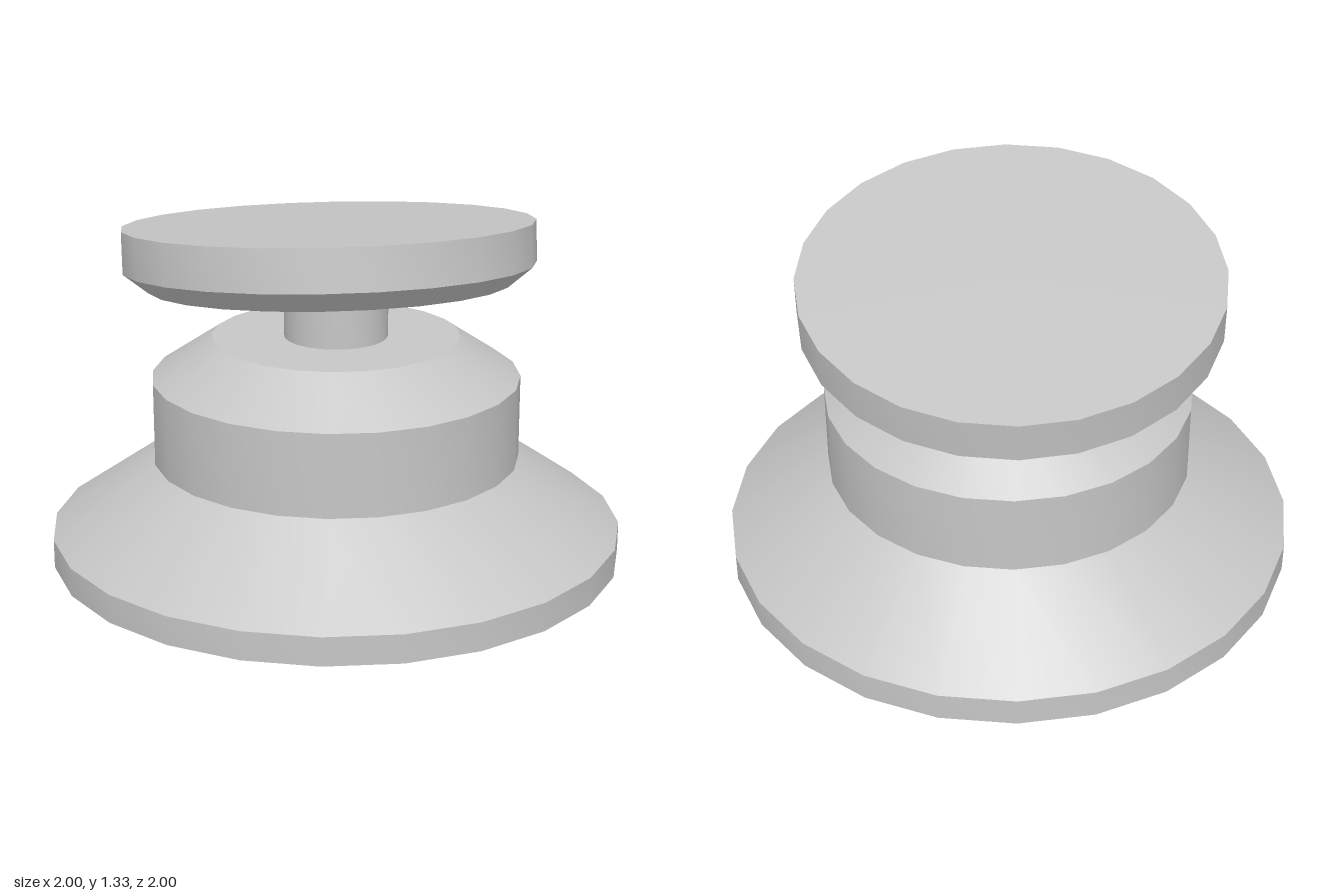
import * as THREE from 'three';
import { toCreasedNormals } from 'three/addons/utils/BufferGeometryUtils.js';

const SIDES = 24;

// Turned part from a [radius, height] profile running bottom to top, smooth around, sharp at its edges
function turned(name, profile, material) {
  const points = profile.map(([r, y]) => new THREE.Vector2(r, y));
  const geometry = toCreasedNormals(new THREE.LatheGeometry(points, SIDES), 0.42);
  const mesh = new THREE.Mesh(geometry, material);
  mesh.name = name;
  return mesh;
}

export function createModel() {
  const grey = new THREE.MeshStandardMaterial({ name: 'light grey', color: 0xc6c6c6 });
  const model = new THREE.Group();
  model.name = 'button';

  // Flared foot with a slightly domed underside, collar and bevelled shoulder
  model.add(turned('base', [
    [0, 0], [0.5, 0.004], [0.77, 0.025], [1, 0.08], [1, 0.18],
    [0.64, 0.43], [0.64, 0.72], [0.43, 0.86], [0, 0.86],
  ], grey));

  // Short stem reaching up into the cap
  model.add(turned('stem', [[0, 0.84], [0.18, 0.84], [0.18, 1.1], [0, 1.1]], grey));

  // Tilted cap, its origin at the centre of the top face
  const cap = turned('cap', [
    [0, -0.213], [0.63, -0.213], [0.715, -0.145], [0.715, 0], [0, 0],
  ], grey);
  const normal = new THREE.Vector3(-0.06, 1, -0.113).normalize();
  cap.quaternion.setFromUnitVectors(new THREE.Vector3(0, 1, 0), normal);
  cap.position.set(-0.053, 1.235, -0.078);
  model.add(cap);

  return model;
}
